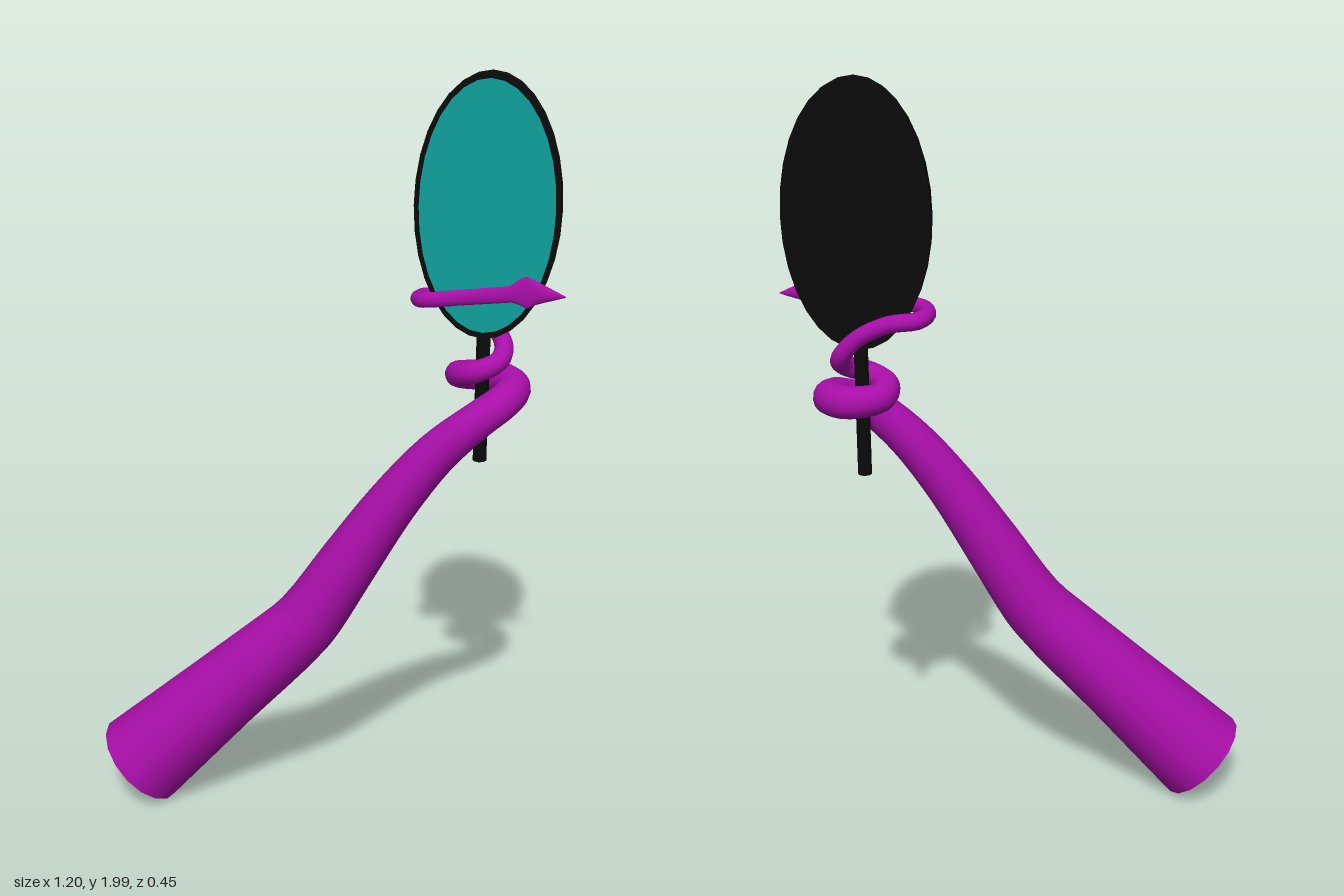
import * as THREE from 'three';

const mat = (color) => new THREE.MeshStandardMaterial({ color });

// Tapered tube along rows of [x, y, z, radius, depth factor along z]
function taperedTube(rows, steps, sides) {
  const curve = new THREE.CatmullRomCurve3(rows.map((r) => new THREE.Vector3(r[0], r[1], r[2])));
  const pos = [], index = [];
  const normal = new THREE.Vector3(0, 0, 1), side = new THREE.Vector3(), v = new THREE.Vector3();
  const last = rows.length - 1;
  const total = steps * last;
  for (let i = 0; i <= total; i++) {
    const t = i / total;
    const k = Math.min(Math.floor(i / steps), last - 1), f = i / steps - k;
    const radius = THREE.MathUtils.lerp(rows[k][3], rows[k + 1][3], f);
    const depth = THREE.MathUtils.lerp(rows[k][4] ?? 1, rows[k + 1][4] ?? 1, f);
    const p = curve.getPoint(t), tangent = curve.getTangent(t);
    // carry the previous ring direction along the path
    normal.addScaledVector(tangent, -normal.dot(tangent)).normalize();
    side.crossVectors(tangent, normal);
    for (let j = 0; j < sides; j++) {
      const a = (j / sides) * Math.PI * 2;
      v.set(0, 0, 0).addScaledVector(normal, Math.cos(a) * radius).addScaledVector(side, Math.sin(a) * radius);
      pos.push(p.x + v.x, p.y + v.y, p.z + v.z * depth);
      if (i < total) {
        const a0 = i * sides + j, b0 = i * sides + ((j + 1) % sides);
        index.push(a0, b0, a0 + sides, b0, b0 + sides, a0 + sides);
      }
    }
  }
  const geo = new THREE.BufferGeometry();
  geo.setAttribute('position', new THREE.Float32BufferAttribute(pos, 3));
  geo.setIndex(index);
  geo.computeVertexNormals();
  return geo;
}

export function createModel() {
  const model = new THREE.Group();
  const purple = mat(0xa80fa8), black = mat(0x0b0b0b), teal = mat(0x10a09c);
  const add = (parent, name, geo, material) => {
    const mesh = new THREE.Mesh(geo, material);
    mesh.name = name;
    parent.add(mesh);
    return mesh;
  };

  // Tentacle: thick arm, coil around the handle, loop round the mirror, flat pointed tip
  const path = [
    [-0.505, 0.105, 0.088, 0.135],
    [-0.27, 0.335, 0.072, 0.111],
    [-0.06, 0.54, 0.057, 0.092],
    [-0.02, 0.59, 0.053, 0.088],
    [0.08, 0.75, 0.045, 0.078],
    [0.19, 0.92, 0.035, 0.066],
    [0.3, 1.06, 0.022, 0.056],
    [0.4, 1.15, 0.005, 0.048],
    [0.46, 1.19, -0.05, 0.045],
    [0.47, 1.205, -0.125, 0.044],
    [0.41, 1.212, -0.183, 0.042],
    [0.34, 1.218, -0.16, 0.038],
    [0.33, 1.235, -0.105, 0.034],
    [0.38, 1.255, -0.062, 0.029],
    [0.435, 1.28, -0.09, 0.026],
    [0.437, 1.315, -0.145, 0.024],
    [0.39, 1.37, -0.162, 0.022],
    [0.31, 1.41, -0.172, 0.022],
    [0.24, 1.42, -0.168, 0.022],
    [0.22, 1.425, -0.12, 0.021],
    [0.24, 1.432, -0.072, 0.02, 0.75],
    [0.34, 1.445, -0.07, 0.02, 0.5],
    [0.46, 1.46, -0.071, 0.021, 0.3],
    [0.5, 1.466, -0.072, 0.041, 0.1],
    [0.598, 1.46, -0.073, 0.001, 1],
  ];
  const tentacle = new THREE.Group();
  tentacle.name = 'tentacle';
  add(tentacle, 'tentacleArm', taperedTube(path, 4, 16), purple);

  // Flat end of the thick arm
  const cap = add(tentacle, 'tentacleBase', new THREE.CircleGeometry(0.135, 16), purple);
  cap.position.set(-0.505, 0.105, 0.088);
  const out = new THREE.Vector3(-0.235, -0.23, 0.016).normalize();
  cap.quaternion.setFromUnitVectors(new THREE.Vector3(0, 0, 1), out);
  model.add(tentacle);

  // Hand mirror: oval frame, glass on the front, round handle
  const mirror = new THREE.Group();
  mirror.name = 'handMirror';
  const disc = (name, rx, ry, depth, z, material) => {
    const geo = new THREE.CylinderGeometry(1, 1, depth, 32).rotateX(Math.PI / 2).scale(rx, ry, 1);
    add(mirror, name, geo, material).position.set(0.39, 1.667, z);
  };
  disc('mirrorFrame', 0.184, 0.333, 0.036, -0.115, black);
  disc('mirrorGlass', 0.171, 0.317, 0.004, -0.096, teal);
  const handle = add(mirror, 'mirrorHandle', new THREE.CylinderGeometry(0.018, 0.018, 0.36, 8), black);
  handle.position.set(0.39, 1.18, -0.115);
  model.add(mirror);

  return model;
}
